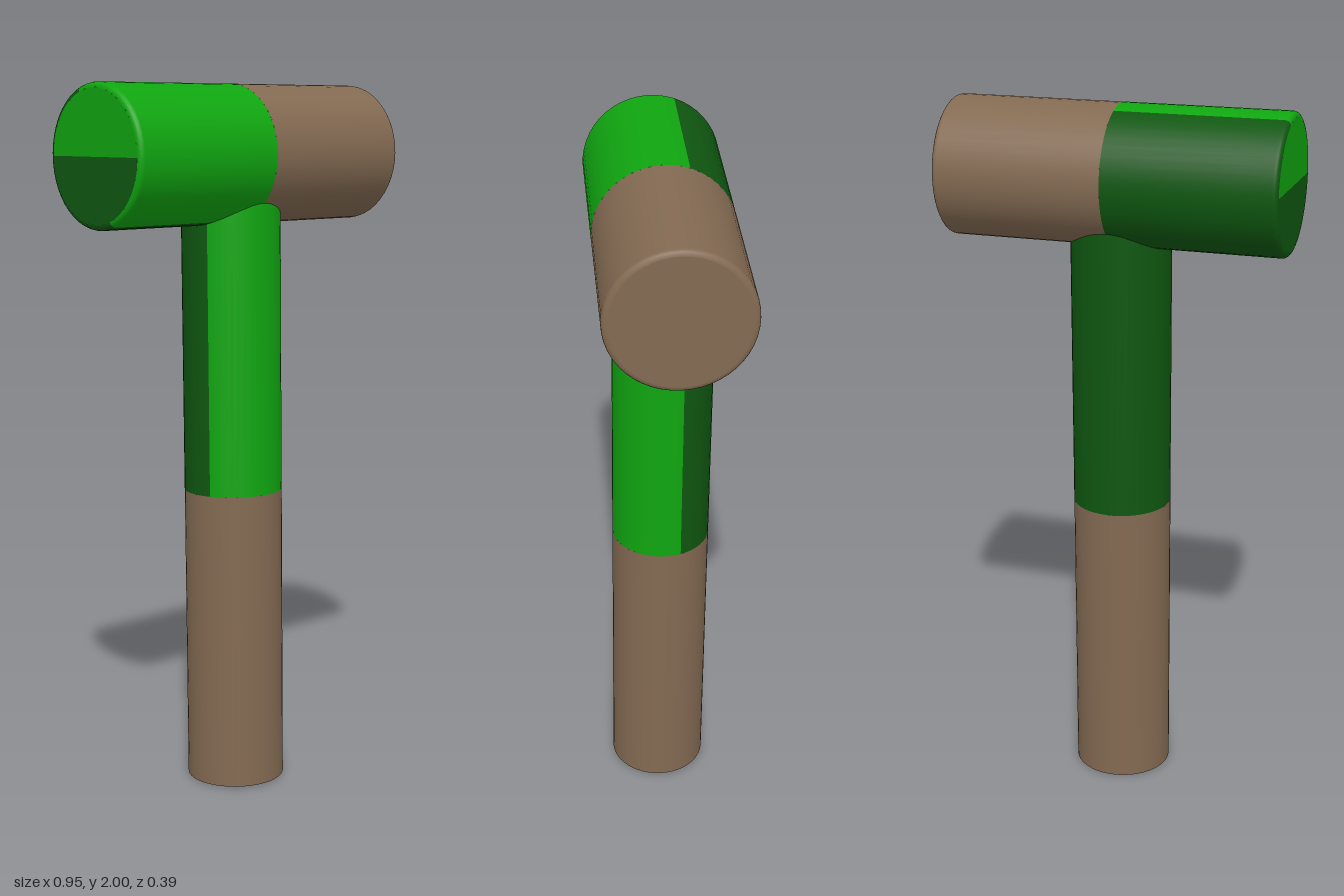
import * as THREE from 'three';

const HEAD_Y = 1.807, HEAD_R = 0.193, HEAD_HALF = 0.477, BEVEL = 0.015;
const HANDLE_R = 0.14, HANDLE_LEN = 1.805, SPLIT = 0.95, TILT = 0.0135;
const rad = THREE.MathUtils.degToRad;

export function createModel() {
  const material = (name, color) => {
    const m = new THREE.MeshStandardMaterial({ color });
    m.name = name;
    return m;
  };
  const brown = material('brown wood', 0x836a52);
  const green = material('bright green', 0x10a610);
  const darkGreen = material('dark green', 0x0f5710);

  const model = new THREE.Group();
  model.name = 'mallet';
  const add = (parent, name, geometry, mat) => {
    const mesh = new THREE.Mesh(geometry, mat);
    mesh.name = name;
    parent.add(mesh);
    return mesh;
  };

  // Head: a lying cylinder with softly rounded rims
  const head = new THREE.Group();
  head.name = 'head';
  head.position.y = HEAD_Y;
  model.add(head);

  // Half profile from the middle out to the rim of one end
  const profile = [new THREE.Vector2(HEAD_R, 0)];
  for (let i = 0; i <= 4; i++) {
    const a = (i / 4) * Math.PI / 2;
    profile.push(new THREE.Vector2(
      HEAD_R - BEVEL + BEVEL * Math.cos(a),
      HEAD_HALF - BEVEL + BEVEL * Math.sin(a)));
  }
  const mirrored = profile.map(p => new THREE.Vector2(p.x, -p.y)).reverse();
  const shell = (name, points, start, sweep, mat) => {
    const g = new THREE.LatheGeometry(points, Math.round(sweep / 7.5), rad(start), rad(sweep));
    add(head, name, g.rotateZ(-Math.PI / 2), mat);
  };
  shell('headLeftSide', profile, 0, 360, brown);
  shell('headRightSideFront', mirrored, -110, 180, green);
  shell('headRightSideBack', mirrored, 70, 180, darkGreen);

  // Flat end faces
  const endFace = (name, side, start, sweep, mat) => {
    const g = new THREE.CircleGeometry(HEAD_R - BEVEL, Math.round(sweep / 7.5), rad(start), rad(sweep));
    add(head, name, g.rotateY(side * Math.PI / 2), mat).position.x = side * HEAD_HALF;
  };
  endFace('headLeftEnd', 1, 0, 360, brown);
  endFace('headRightEndUpper', -1, 0, 180, green);
  endFace('headRightEndLower', -1, 180, 180, darkGreen);

  // Handle: slightly tilted, hung from the middle of the head
  const handle = new THREE.Group();
  handle.name = 'handle';
  handle.position.y = HEAD_Y;
  handle.rotation.x = -TILT;
  model.add(handle);

  const tube = (name, top, bottom, start, sweep, mat, open) => {
    const g = new THREE.CylinderGeometry(HANDLE_R, HANDLE_R, bottom - top,
      Math.round(sweep / 7.5), 1, open, rad(start), rad(sweep));
    add(handle, name, g, mat).position.y = -(top + bottom) / 2;
  };
  tube('handleUpperFront', 0.06, SPLIT, -70, 180, green, true);
  tube('handleUpperBack', 0.06, SPLIT, 110, 180, darkGreen, true);
  tube('handleGrip', SPLIT, HANDLE_LEN, 0, 360, brown, false);

  return model;
}
